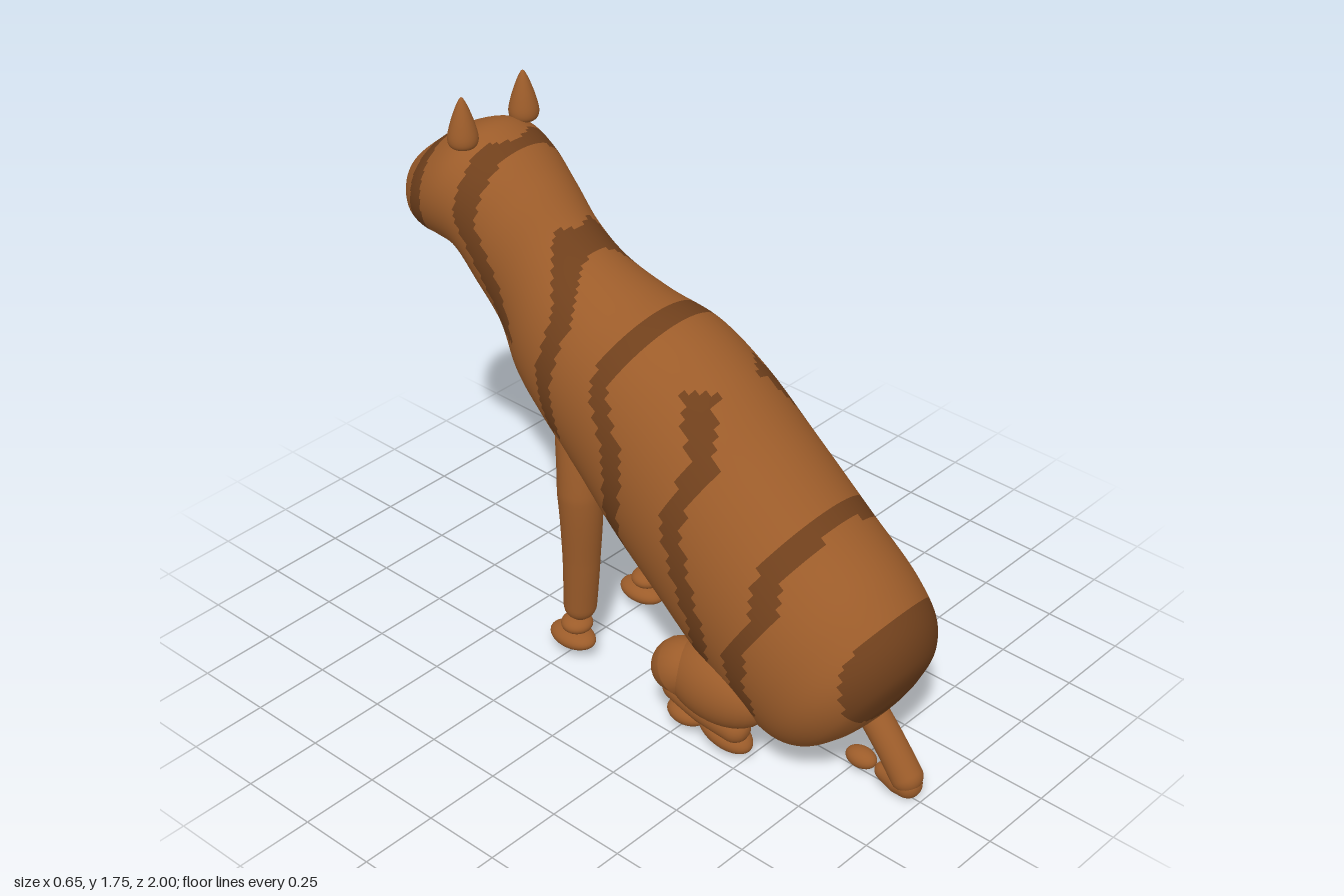
import * as THREE from 'three';
import { mergeVertices } from 'three/addons/utils/BufferGeometryUtils.js';

const fur = new THREE.MeshStandardMaterial({ color: 0x9c5c2a });
const dark = new THREE.MeshStandardMaterial({ color: 0x70401c });
const black = new THREE.MeshStandardMaterial({ color: 0x1c1a1a });

// Body sections, rump to muzzle: [back z, back y, belly z, belly y, half width]
const SECTIONS = [
  [0.845, 0.24, 0.845, 0.24, 0], [0.885, 0.3, 0.795, 0.185, 0.08],
  [0.915, 0.36, 0.75, 0.145, 0.145], [0.95, 0.47, 0.65, 0.08, 0.225],
  [0.93, 0.57, 0.57, 0.07, 0.275], [0.84, 0.68, 0.48, 0.1, 0.3],
  [0.66, 0.82, 0.3, 0.22, 0.31], [0.45, 0.99, 0.12, 0.37, 0.31],
  [0.25, 1.15, -0.05, 0.51, 0.305], [0.08, 1.24, -0.2, 0.655, 0.29],
  [-0.1, 1.275, -0.35, 0.765, 0.255], [-0.25, 1.335, -0.48, 0.86, 0.215],
  [-0.35, 1.41, -0.56, 1.0, 0.19], [-0.46, 1.51, -0.64, 1.11, 0.2],
  [-0.57, 1.59, -0.72, 1.215, 0.215], [-0.67, 1.63, -0.79, 1.228, 0.22],
  [-0.78, 1.595, -0.86, 1.228, 0.2], [-0.88, 1.52, -0.92, 1.245, 0.155],
  [-0.95, 1.46, -0.96, 1.3, 0.1], [-0.985, 1.42, -0.98, 1.35, 0.05],
  [-1, 1.39, -1, 1.39, 0],
];

// Stripe centre lines as seen from the side, [y, z] from the back down
const STRIPES = [
  [[1.6, -0.83], [1.4, -0.81], [1.25, -0.84]],
  [[1.6, -0.59], [1.4, -0.6], [1.25, -0.53], [1.05, -0.46]],
  [[1.4, -0.33], [1.2, -0.23], [1.05, -0.25], [0.85, -0.22]],
  [[1.27, 0.04], [1.1, -0.03], [0.95, 0.05], [0.8, 0.07], [0.6, 0.03], [0.45, 0.12]],
  [[1.12, 0.24], [0.95, 0.34], [0.8, 0.29], [0.65, 0.33], [0.45, 0.4], [0.25, 0.36]],
  [[0.84, 0.66], [0.72, 0.6], [0.6, 0.62], [0.45, 0.54], [0.25, 0.56]],
];

function isStriped(x, y, z) {
  if (z > 0.6 && Math.hypot(x / 0.24, (y - 0.43) / 0.19) < 1 && z > 0.9 - y * 0.1) return true;
  return STRIPES.some((line) => {
    for (let k = 0; k < line.length - 1; k++) {
      const [y0, z0] = line[k], [y1, z1] = line[k + 1];
      if (y <= y0 && y >= y1) {
        return Math.abs(z - THREE.MathUtils.lerp(z0, z1, (y0 - y) / (y0 - y1))) < 0.035;
      }
    }
    return false;
  });
}

// Lofted torso, neck and head, split into plain fur and stripes
function makeBody() {
  const back = new THREE.CatmullRomCurve3(SECTIONS.map((s) => new THREE.Vector3(s[4], s[1], s[0])));
  const belly = new THREE.CatmullRomCurve3(SECTIONS.map((s) => new THREE.Vector3(0, s[3], s[2])));
  const n = 200, m = 80, pos = [], all = [], plain = [], striped = [];
  for (let i = 0; i <= n; i++) {
    const u = back.getPoint(i / n), l = belly.getPoint(i / n);
    for (let j = 0; j < m; j++) {
      const a = (j / m) * Math.PI * 2, c = (1 + Math.cos(a)) / 2;
      pos.push(u.x * Math.sin(a), l.y + (u.y - l.y) * c, l.z + (u.z - l.z) * c);
    }
  }
  for (let i = 0; i < n; i++) {
    for (let j = 0; j < m; j++) {
      const a = i * m + j, b = i * m + ((j + 1) % m);
      const quad = [a, b, a + m, b, b + m, a + m];
      all.push(...quad);
      const onStripe = isStriped(pos[a * 3], pos[a * 3 + 1], pos[a * 3 + 2]);
      (onStripe ? striped : plain).push(...quad);
    }
  }
  const geo = new THREE.BufferGeometry();
  geo.setAttribute('position', new THREE.Float32BufferAttribute(pos, 3));
  geo.setIndex(all);
  geo.computeVertexNormals();
  const stripes = geo.clone();
  geo.setIndex(plain);
  stripes.setIndex(striped);
  const group = new THREE.Group();
  group.name = 'body';
  group.add(named(new THREE.Mesh(geo, fur), 'bodyFur'), named(new THREE.Mesh(stripes, dark), 'bodyStripes'));
  return group;
}

function named(obj, name) {
  obj.name = name;
  return obj;
}

function blob(name, p, r, mat = fur, tilt = 0) {
  const mesh = named(new THREE.Mesh(new THREE.SphereGeometry(1, 32, 20), mat), name);
  mesh.position.set(...p);
  mesh.scale.set(...r);
  mesh.rotation.x = tilt;
  return mesh;
}

// Tapered tube with round ends through points [x, y, z, radius]
function limb(name, pts) {
  const curve = new THREE.CatmullRomCurve3(pts.map((p) => new THREE.Vector3(p[0], p[1], p[2])));
  const n = 64, m = 24, len = curve.getLength();
  let geo = new THREE.TubeGeometry(curve, n, 1, m);
  const pos = geo.attributes.position, v = new THREE.Vector3();
  for (let i = 0; i <= n; i++) {
    const t = i / n, c = curve.getPointAt(t);
    const f = t * (pts.length - 1), k = Math.min(Math.floor(f), pts.length - 2);
    let r = THREE.MathUtils.lerp(pts[k][3], pts[k + 1][3], f - k);
    const e = Math.min(1, (Math.min(t, 1 - t) * len) / r);
    r *= Math.sqrt(Math.max(0, 1 - (1 - e) ** 2));
    for (let j = 0; j <= m; j++) {
      const q = i * (m + 1) + j;
      v.fromBufferAttribute(pos, q).sub(c).multiplyScalar(r).add(c);
      pos.setXYZ(q, v.x, v.y, v.z);
    }
  }
  geo.deleteAttribute('uv');
  geo.deleteAttribute('normal');
  geo = mergeVertices(geo, 1e-5);
  geo.computeVertexNormals();
  return named(new THREE.Mesh(geo, fur), name);
}

function makeEar() {
  const profile = new THREE.SplineCurve([
    [0, 1.59], [0.036, 1.6], [0.046, 1.625], [0.037, 1.67], [0.02, 1.72], [0.007, 1.748], [0, 1.755],
  ].map((p) => new THREE.Vector2(...p))).getPoints(30);
  profile.forEach((p) => { p.x = Math.max(0, p.x); });
  return named(new THREE.Mesh(new THREE.LatheGeometry(profile, 32), fur), 'ear');
}

export function createModel() {
  const model = named(new THREE.Group(), 'sittingCat');
  model.add(makeBody());
  model.add(blob('nose', [0, 1.345, -0.975], [0.026, 0.018, 0.02], black));

  // Paired parts
  for (const s of [-1, 1]) {
    const ear = makeEar();
    ear.position.set(s * 0.125, 0, -0.675);

    const frontLeg = named(new THREE.Group(), 'frontLeg');
    frontLeg.add(
      limb('foreleg', [[s * 0.175, 0.89, -0.205, 0.055], [s * 0.18, 0.64, -0.175, 0.07],
        [s * 0.17, 0.4, -0.185, 0.058], [s * 0.16, 0.155, -0.207, 0.05]]),
      blob('ankle', [s * 0.16, 0.125, -0.22], [0.05, 0.03, 0.05]),
      blob('frontPaw', [s * 0.16, 0.068, -0.238], [0.055, 0.035, 0.083]),
    );

    const hindLeg = named(new THREE.Group(), 'hindLeg');
    hindLeg.add(
      blob('thigh', [s * 0.22, 0.255, 0.41], [0.103, 0.122, 0.19]),
      limb('knee', [[s * 0.23, 0.28, 0.37, 0.085], [s * 0.235, 0.26, 0.28, 0.09], [s * 0.235, 0.19, 0.21, 0.06]]),
      limb('shin', [[s * 0.235, 0.2, 0.22, 0.05], [s * 0.225, 0.155, 0.35, 0.055], [s * 0.21, 0.11, 0.52, 0.045]]),
      blob('heel', [s * 0.195, 0.07, 0.42], [0.058, 0.045, 0.1], fur, 0.25),
      blob('hindPaw', [s * 0.2, 0.066, 0.275], [0.05, 0.036, 0.07]),
    );
    model.add(ear, frontLeg, hindLeg);
  }

  // Tail folding under itself
  const tail = named(new THREE.Group(), 'tail');
  tail.add(
    limb('tailBase', [[0, 0.26, 0.79, 0.048], [0, 0.15, 0.885, 0.048], [0, 0.03, 0.975, 0.05]]),
    limb('tailBend', [[0, 0.05, 0.995, 0.045], [0, 0.043, 0.93, 0.042], [0, 0.045, 0.835, 0.022]]),
    blob('tailTip', [0, 0.048, 0.78], [0.036, 0.031, 0.052]),
  );
  model.add(tail);
  return model;
}
